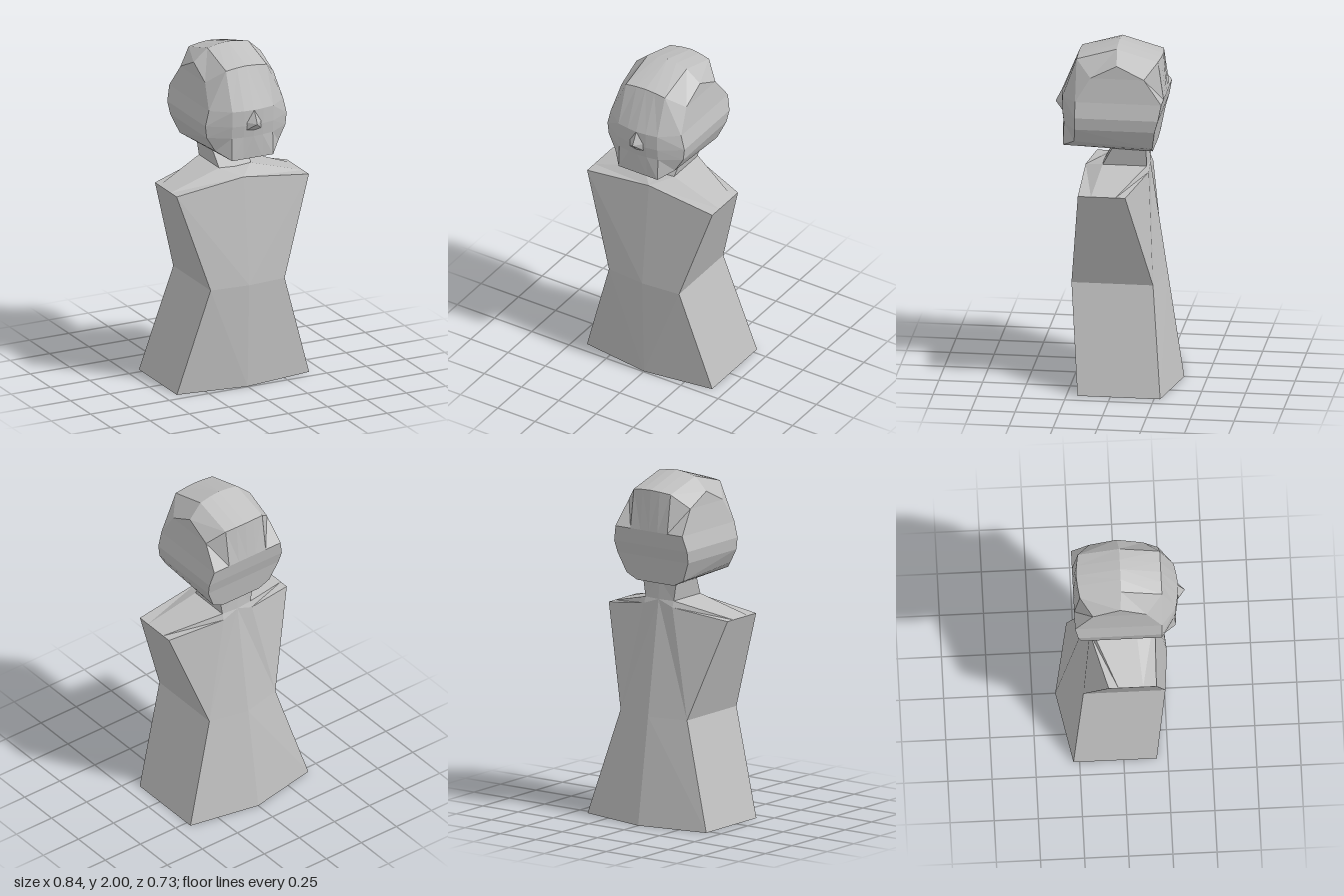
import * as THREE from 'three';

const grey = new THREE.MeshStandardMaterial({ color: 0xc0c0c0, flatShading: true });
grey.name = 'plain grey';

// Polygons given for the +x half are fanned into triangles and mirrored to -x
function mirroredMesh(name, polygons) {
  const pos = [];
  for (const p of polygons) {
    for (let i = 1; i < p.length - 1; i++) {
      pos.push(...p[0], ...p[i], ...p[i + 1]);
      for (const q of [p[0], p[i + 1], p[i]]) pos.push(-q[0], q[1], q[2]);
    }
  }
  const geo = new THREE.BufferGeometry();
  geo.setAttribute('position', new THREE.Float32BufferAttribute(pos, 3));
  geo.computeVertexNormals();
  const mesh = new THREE.Mesh(geo, grey);
  mesh.name = name;
  return mesh;
}

// Walls between two half rings running from front to back
const walls = (lower, upper) => lower.slice(1).map((p, i) => [lower[i], p, upper[i + 1], upper[i]]);

const neckFront = [0.1, 1.28, 0.085], neckBack = [0.1, 1.28, -0.165];
const neckFrontMid = [0, 1.275, 0.09], neckBackMid = [0, 1.28, -0.175];

function torso() {
  const hem = [[0, 0, 0.245], [0.42, 0, 0.187], [0.42, 0, -0.285], [0, 0, -0.368]];
  const waist = [[0, 0.615, 0.265], [0.235, 0.615, 0.245], [0.235, 0.615, -0.22], [0, 0.615, -0.275]];
  const chest = [[0, 1.245, 0.195], [0.42, 1.19, 0.185], [0.42, 1.19, -0.085], neckBackMid];
  const ridgeFront = [0.42, 1.19, 0.11], ridgeBack = [0.42, 1.19, -0.03];
  const nape = [0.1, 1.245, -0.178];
  return mirroredMesh('torso', [
    [...hem].reverse(),
    ...walls(hem, waist),
    ...walls(waist, chest).slice(0, 2),
    [waist[2], waist[3], neckBackMid, nape, chest[2]],
    // shoulder tops
    [chest[0], chest[1], ridgeFront, neckFront, neckFrontMid],
    [ridgeFront, ridgeBack, neckBack, neckFront],
    [ridgeBack, chest[2], nape, neckBack],
    [neckBack, nape, neckBackMid],
  ]);
}

function neck() {
  const top = [[0, 1.4, 0.025], [0.119, 1.4, 0.02], [0.119, 1.4, -0.165], [0, 1.4, -0.17]];
  return mirroredMesh('neck', walls([neckFrontMid, neckFront, neckBack, neckBackMid], top));
}

function head() {
  // Closed profiles: crown, down the face, under the chin, up the back [z, y]
  const middle = [[0, 2], [0.23, 1.925], [0.328, 1.69], [0.328, 1.6], [0.32, 1.53], [0.308, 1.397],
    [-0.205, 1.38], [-0.23, 1.53], [-0.25, 1.6], [-0.267, 1.69], [-0.25, 1.925]];
  // Outer profile [x, y, z]
  const side = [[0.213, 1.905, -0.01], [0.217, 1.83, 0.14], [0.236, 1.69, 0.225], [0.258, 1.6, 0.225],
    [0.25, 1.53, 0.225], [0.2, 1.445, 0.235], [0.2, 1.415, -0.21], [0.25, 1.53, -0.23],
    [0.258, 1.6, -0.25], [0.236, 1.69, -0.267], [0.217, 1.83, -0.165]];
  const column = (x, t) => middle.map(([z, y], k) => [
    x,
    y - (k === 0 ? 0.02 * t : k === 1 || k === 10 ? 0.012 * t : 0),
    z - (k >= 2 && k <= 4 ? 0.018 * t : 0) + (k === 10 ? 0.015 * t : 0),
  ]);
  const columns = [column(0, 0), column(0.06, 0.3), column(0.13, 1), side];
  const faces = [];
  const n = middle.length;
  for (let c = 0; c < 3; c++) {
    for (let k = 0; k < n; k++) {
      const j = (k + 1) % n;
      faces.push([columns[c][k], columns[c][j], columns[c + 1][j], columns[c + 1][k]]);
    }
  }
  // cheek panels, banded front to back
  faces.push([side[0], side[1], side[10]]);
  for (let k = 1; k < 5; k++) faces.push([side[k], side[k + 1], side[10 - k], side[11 - k]]);
  return mirroredMesh('head', faces);
}

function nose() {
  const bridge = [0, 1.69, 0.328], tip = [0, 1.615, 0.366];
  const wing = [0.05, 1.62, 0.318], base = [0.05, 1.57, 0.316], baseMid = [0, 1.57, 0.326];
  return mirroredMesh('nose', [[bridge, tip, wing], [tip, baseMid, base, wing]]);
}

export function createModel() {
  const model = new THREE.Group();
  model.name = 'bust';
  model.add(torso(), neck(), head(), nose());
  return model;
}
